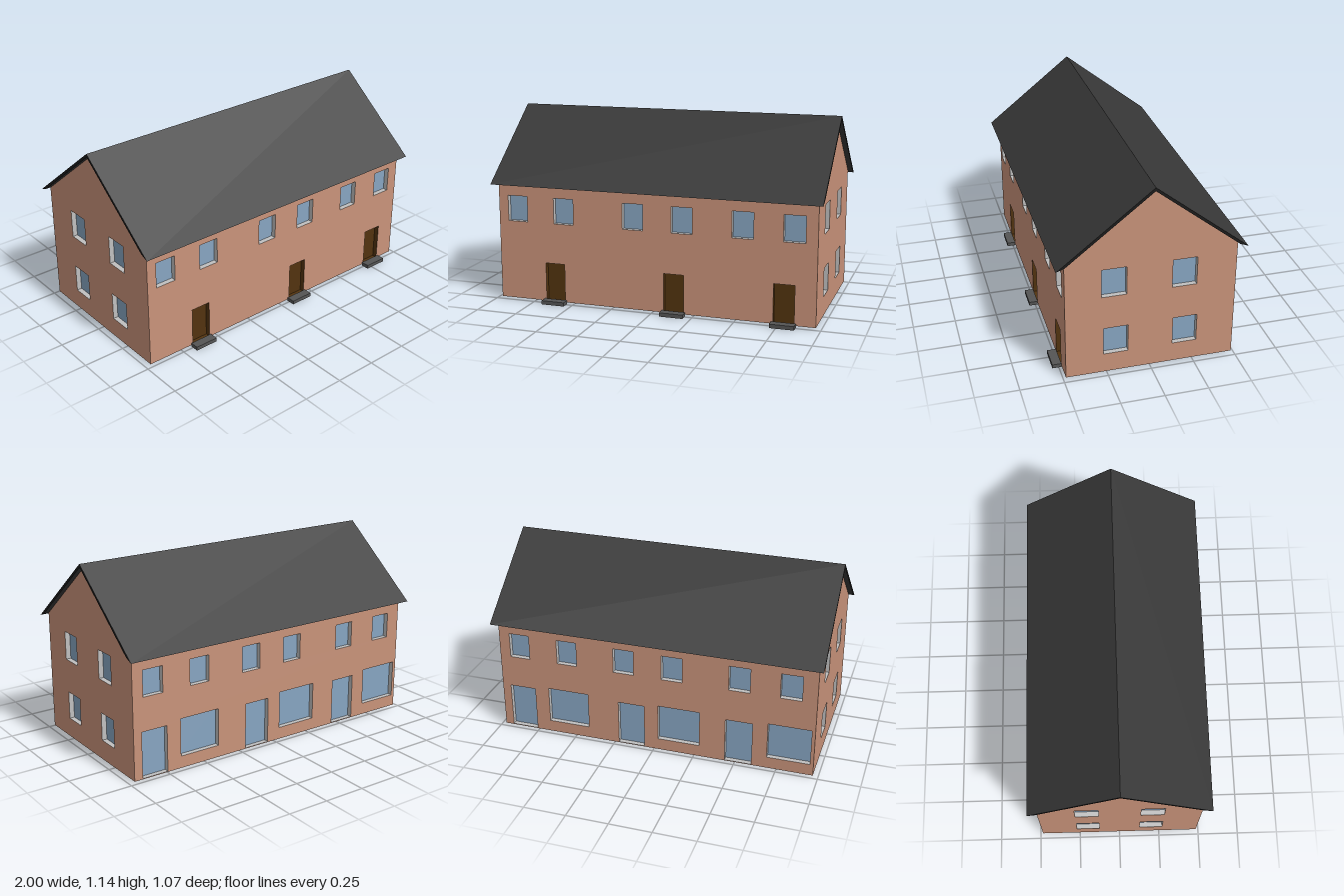
import * as THREE from 'three';

const mat = (name, color) => {
  const m = new THREE.MeshStandardMaterial({ color });
  m.name = name;
  return m;
};

const HALF_X = 0.97, HALF_Z = 0.485, BASE = 0.01, EAVE = 0.735, APEX = 1.12;
const RECESS = 0.03;

export function createModel() {
  const house = new THREE.Group();
  house.name = 'terracedHouse';

  const brick = mat('brick', 0xc9937a);
  const glass = mat('glass', 0x87a5c1);
  const reveal = mat('reveal', 0xc0c0c0);
  const wood = mat('doorWood', 0x52330f);
  const slate = mat('roofSlate', 0x383838);
  const verge = mat('roofEdge', 0x1c1c1c);
  const stone = mat('stepStone', 0x555555);

  const add = (parent, name, geometry, material) => {
    const mesh = new THREE.Mesh(geometry, material);
    mesh.name = name;
    parent.add(mesh);
    return mesh;
  };

  // Inward-facing box without its front: four reveals and a back pane
  const recessGeometry = (w, h) => {
    const g = new THREE.BoxGeometry(w, h, RECESS).scale(-1, 1, 1);
    const idx = Array.from(g.index.array);
    g.setIndex([...idx.slice(0, 24), ...idx.slice(30, 36)]);
    g.clearGroups();
    g.addGroup(0, 24, 0);
    g.addGroup(24, 6, 1);
    g.computeVertexNormals();
    return g;
  };

  // Wall sheet in its own plane, with recessed openings {name, x, y, w, h, mats}
  const wall = (name, outline, openings, turn, distance) => {
    const group = new THREE.Group();
    group.name = name;
    const shape = new THREE.Shape(outline.map(([x, y]) => new THREE.Vector2(x, y)));
    for (const { name: part, x, y, w, h, mats } of openings) {
      const x0 = x - w / 2, x1 = x + w / 2, y1 = y + h;
      shape.holes.push(new THREE.Path([
        new THREE.Vector2(x0, y), new THREE.Vector2(x0, y1),
        new THREE.Vector2(x1, y1), new THREE.Vector2(x1, y),
      ]));
      add(group, part, recessGeometry(w, h), mats).position.set(x, y + h / 2, -RECESS / 2);
    }
    add(group, name + 'Brickwork', new THREE.ShapeGeometry(shape), brick);
    group.rotation.y = turn;
    group.position.set(Math.sin(turn) * distance, 0, Math.cos(turn) * distance);
    house.add(group);
  };

  const glazed = [reveal, glass], timber = [wood, wood];
  const opening = (name, mats, y, w, h) => (x) => ({ name, mats, x, y, w, h });
  const upperWindow = opening('upperWindow', glazed, 0.49, 0.125, 0.155);
  const frontDoor = opening('frontDoor', timber, 0.012, 0.122, 0.233);
  const gardenDoor = opening('gardenDoor', glazed, 0.014, 0.162, 0.276);
  const wideWindow = opening('wideWindow', glazed, 0.082, 0.255, 0.226);
  const gableUpper = opening('gableUpperWindow', glazed, 0.5, 0.14, 0.172);
  const gableLower = opening('gableLowerWindow', glazed, 0.128, 0.14, 0.169);

  const longWall = [[-HALF_X, BASE], [HALF_X, BASE], [HALF_X, EAVE], [-HALF_X, EAVE]];
  const gable = [[-HALF_Z, BASE], [HALF_Z, BASE], [HALF_Z, EAVE], [0, APEX], [-HALF_Z, EAVE]];
  const doorXs = [-0.612, 0.133, 0.785];

  // Front and back walls
  wall('frontWall', longWall, [
    ...[-0.848, -0.552, -0.117, 0.182, 0.542, 0.838].map(upperWindow),
    ...doorXs.map(frontDoor),
  ], 0, HALF_Z);
  wall('backWall', longWall, [
    ...[-0.841, -0.538, -0.181, 0.116, 0.52, 0.82].map(upperWindow),
    ...[-0.837, -0.137, 0.523].map(gardenDoor),
    ...[-0.539, 0.158, 0.822].map(wideWindow),
  ], Math.PI, HALF_Z);

  // Gable ends
  wall('leftGable', gable, [
    ...[-0.21, 0.188].map(gableUpper), ...[-0.2, 0.198].map(gableLower),
  ], Math.PI / 2, HALF_X);
  wall('rightGable', gable, [
    ...[-0.195, 0.195].map(gableUpper), ...[-0.195, 0.195].map(gableLower),
  ], -Math.PI / 2, HALF_X);

  // Underside of the house
  add(house, 'floor', new THREE.PlaneGeometry(2 * HALF_X, 2 * HALF_Z).rotateX(Math.PI / 2), brick)
    .position.y = BASE;

  // Pitched roof with tapered eaves
  const profile = [[0, 1.14], [-0.535, 0.715], [-HALF_Z, EAVE], [0, APEX], [HALF_Z, EAVE], [0.535, 0.715]];
  const roof = new THREE.ExtrudeGeometry(
    new THREE.Shape(profile.map(([x, y]) => new THREE.Vector2(x, y))),
    { depth: 2, bevelEnabled: false });
  add(house, 'roof', roof.translate(0, 0, -1).rotateY(Math.PI / 2), [verge, slate]);

  // Doorsteps
  for (const x of doorXs) {
    add(house, 'doorstep', new THREE.BoxGeometry(0.143, 0.023, 0.052), stone)
      .position.set(x, 0.0115, HALF_Z + 0.026);
  }

  return house;
}
